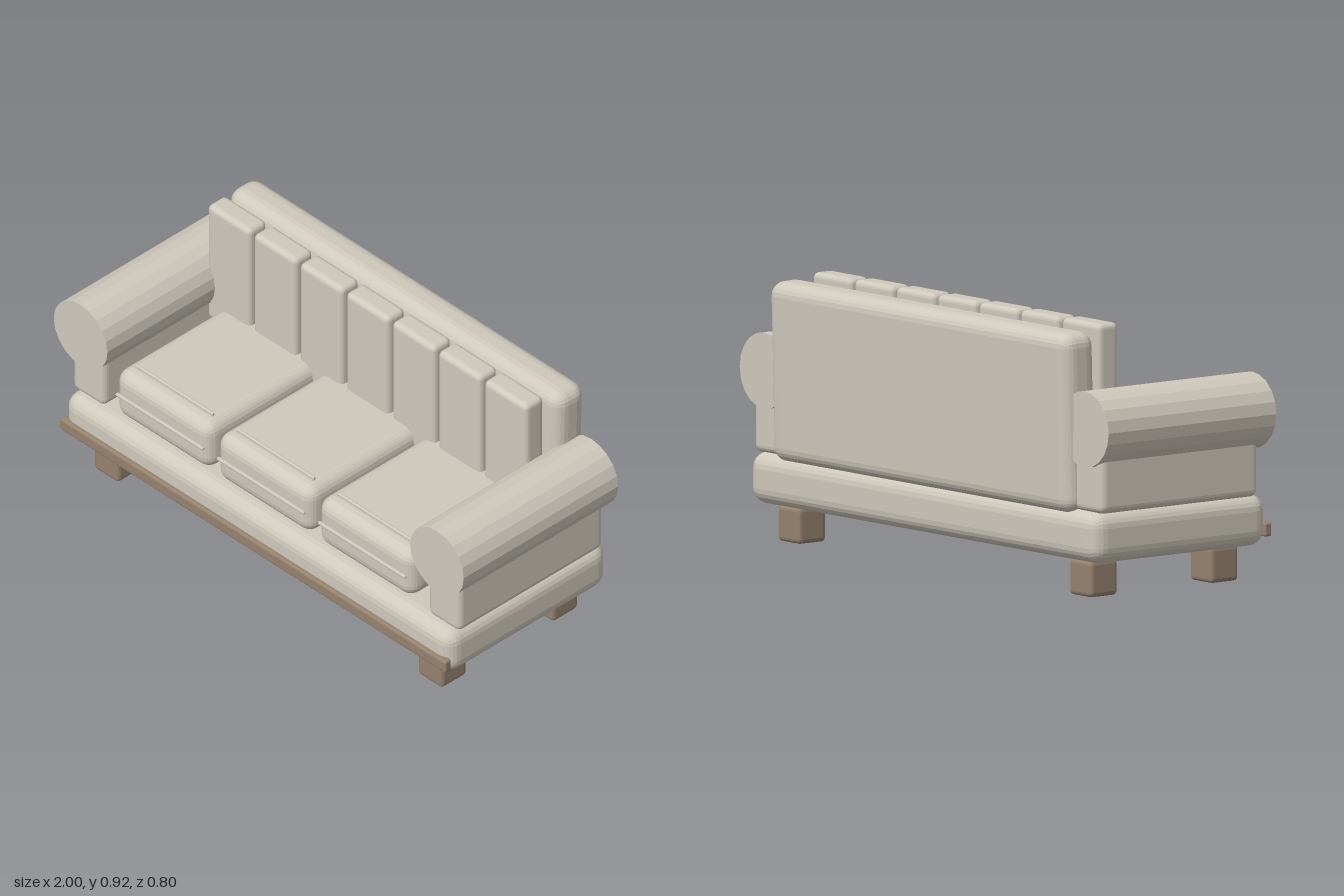
import * as THREE from 'three';
import { RoundedBoxGeometry } from 'three/addons/geometries/RoundedBoxGeometry.js';

export function createModel() {
  const sofa = new THREE.Group();
  sofa.name = 'sofa';
  const fabric = new THREE.MeshStandardMaterial({ color: 0xcfc9bc, flatShading: true });
  fabric.name = 'fabric';
  const wood = new THREE.MeshStandardMaterial({ color: 0x96826f, flatShading: true });
  wood.name = 'wood';

  function add(name, geometry, material, x, y, z) {
    const mesh = new THREE.Mesh(geometry, material);
    mesh.name = name;
    mesh.position.set(x, y, z);
    sofa.add(mesh);
    return mesh;
  }
  // Rounded block given by its centre x, width and y/z extents
  function block(name, material, x, width, y0, y1, z0, z1, radius, segments = 3) {
    const geometry = new RoundedBoxGeometry(width, y1 - y0, z1 - z0, segments, radius);
    return add(name, geometry, material, x, (y0 + y1) / 2, (z0 + z1) / 2);
  }

  // Base, front rail and leaning backrest
  block('base', fabric, 0, 1.89, 0.125, 0.303, -0.374, 0.384, 0.055);
  block('frontRail', wood, 0, 1.88, 0.156, 0.204, 0.37, 0.4, 0.008, 2);
  const back = block('backrest', fabric, 0, 1.625, 0.285, 0.905, -0.391, -0.251, 0.05);
  back.rotation.x = -0.026;

  // Arms with rolled tops, and legs
  for (const side of [-1, 1]) {
    const prefix = side > 0 ? 'left' : 'right';
    block(prefix + 'ArmPanel', fabric, side * 0.867, 0.155, 0.298, 0.56, -0.346, 0.339, 0.025);
    const roll = new THREE.CylinderGeometry(0.131, 0.131, 0.73, 20);
    roll.rotateX(Math.PI / 2);
    add(prefix + 'ArmRoll', roll, fabric, side * 0.869, 0.585, 0.005);
    for (const z of [0.268, -0.258]) {
      block(prefix + (z > 0 ? 'FrontLeg' : 'BackLeg'), wood,
        side * 0.79, 0.12, 0, 0.125, z - 0.06, z + 0.06, 0.015, 2);
    }
  }

  // Seat cushions with piping on the top and front
  for (let i = -1; i <= 1; i++) {
    const x = i * 0.493;
    block('seatCushion', fabric, x, 0.465, 0.317, 0.512, -0.26, 0.354, 0.05);
    block('topPiping', fabric, x, 0.38, 0.508, 0.524, 0.284, 0.296, 0.004, 1);
    block('frontPiping', fabric, x, 0.425, 0.412, 0.424, 0.352, 0.365, 0.004, 1);
  }

  // Row of upright back cushions
  for (let i = -3; i <= 3; i++) {
    block('backCushion', fabric, i * 0.225, 0.209, 0.44, 0.922, -0.224, -0.138, 0.02);
  }
  return sofa;
}
